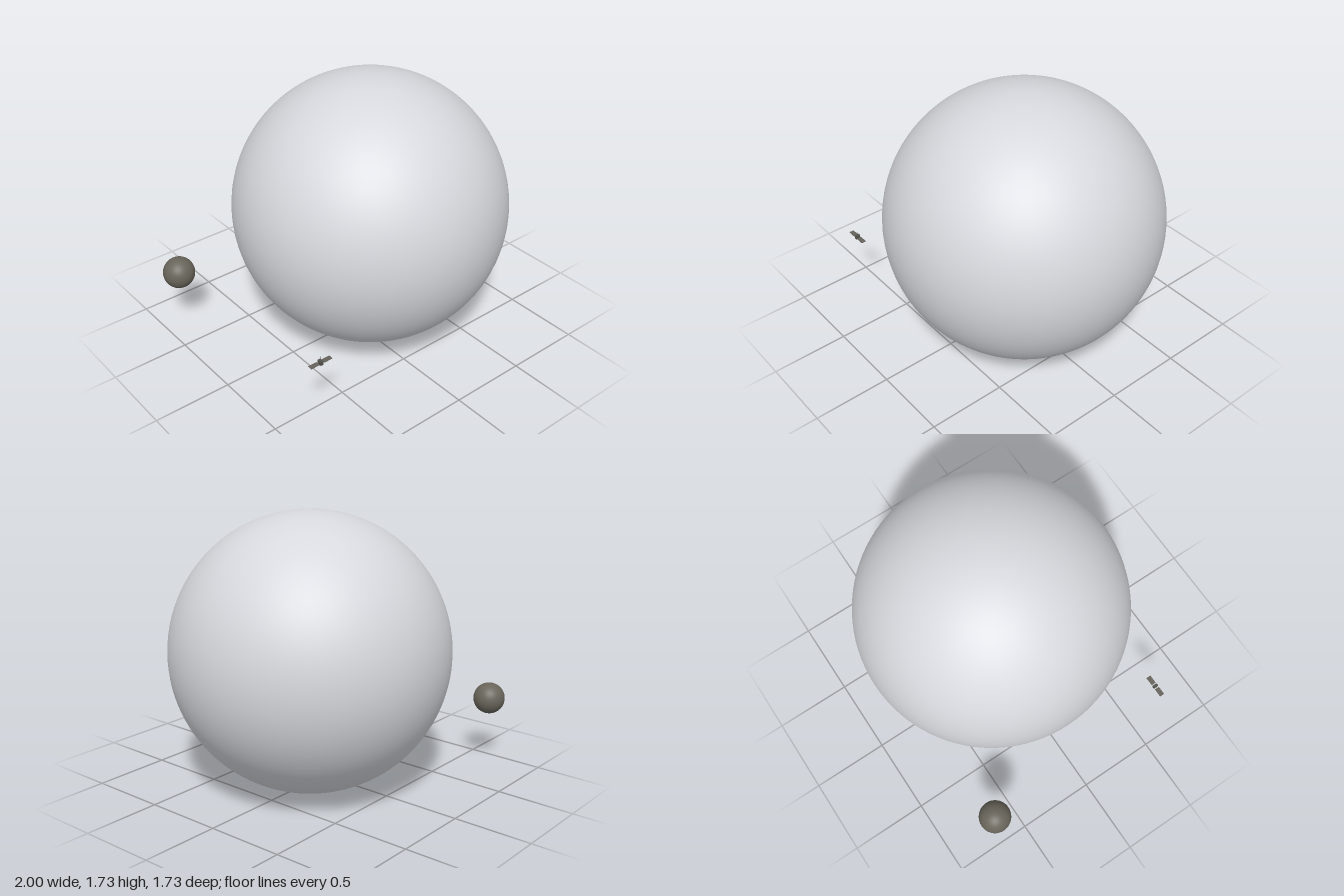
import * as THREE from 'three';

const material = (name, color) => {
  const m = new THREE.MeshStandardMaterial({ color });
  m.name = name;
  return m;
};

export function createModel() {
  const model = new THREE.Group();
  model.name = 'planetSystem';

  const planetGrey = material('pale grey', 0xd6d8dd);
  const moonBrown = material('moon brown', 0x69655b);
  const panelOlive = material('panel olive', 0x65635a);
  const bodyGrey = material('dark grey', 0x55534e);

  const add = (parent, name, geometry, mat, x, y, z) => {
    const mesh = new THREE.Mesh(geometry, mat);
    mesh.name = name;
    mesh.position.set(x, y, z);
    parent.add(mesh);
    return mesh;
  };

  // Planet and its moon
  add(model, 'planet', new THREE.SphereGeometry(0.867, 96, 64), planetGrey, 0.133, 0.867, 0);
  add(model, 'moon', new THREE.SphereGeometry(0.102, 48, 32), moonBrown, -0.898, 0.438, -0.667);

  // Satellite: body, mast and a pair of flat solar panels on a boom
  const satellite = new THREE.Group();
  satellite.name = 'satellite';
  satellite.position.set(-0.782, 0.487, 0.66);
  model.add(satellite);

  add(satellite, 'satelliteBody', new THREE.BoxGeometry(0.018, 0.026, 0.03), bodyGrey, 0, 0, 0);
  add(satellite, 'antennaMast', new THREE.CylinderGeometry(0.001, 0.001, 0.03, 8), bodyGrey, 0, 0.027, 0);
  const boom = add(satellite, 'panelBoom', new THREE.CylinderGeometry(0.001, 0.001, 0.05, 8), bodyGrey, 0, 0, 0);
  boom.rotation.z = Math.PI / 2;
  for (const [side, name] of [[1, 'leftSolarPanel'], [-1, 'rightSolarPanel']]) {
    add(satellite, name, new THREE.BoxGeometry(0.058, 0.002, 0.032), panelOlive, side * 0.046, 0, 0);
  }

  return model;
}
